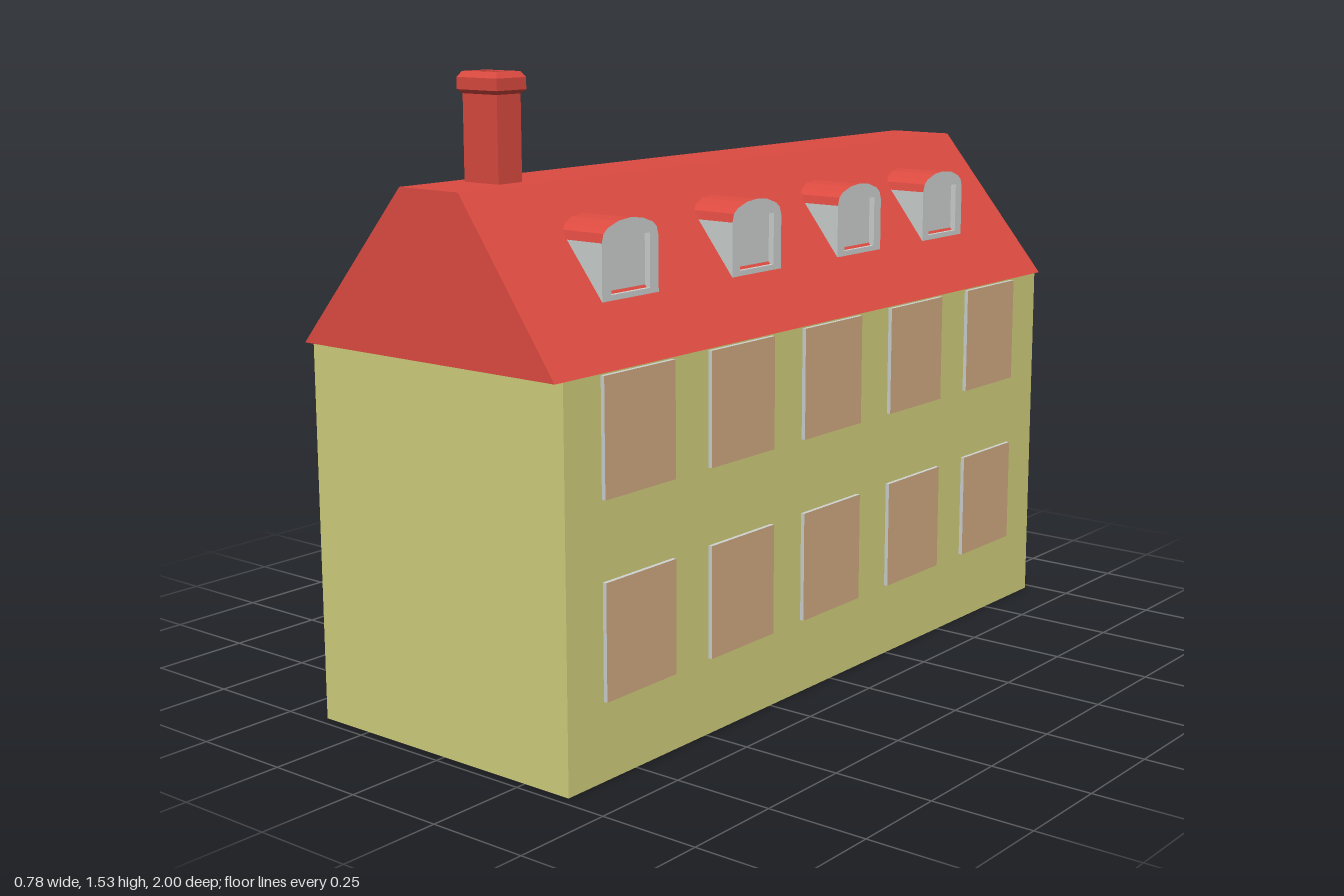
import * as THREE from 'three';

const mat = (name, color) => {
  const m = new THREE.MeshStandardMaterial({ color, side: THREE.DoubleSide });
  m.name = name;
  return m;
};

// Flat-shaded surface between rings that hold equal numbers of points
function loft(rings, closed = true) {
  const pos = [];
  for (let r = 0; r < rings.length - 1; r++) {
    const a = rings[r], b = rings[r + 1], n = a.length;
    for (let i = 0; i < (closed ? n : n - 1); i++) {
      const j = (i + 1) % n;
      pos.push(...a[i], ...a[j], ...b[j], ...a[i], ...b[j], ...b[i]);
    }
  }
  const g = new THREE.BufferGeometry();
  g.setAttribute('position', new THREE.Float32BufferAttribute(pos, 3));
  g.computeVertexNormals();
  return g;
}

// Rectangles lying flat (y fixed) and facing sideways (x fixed)
const flatRect = (x0, x1, z0, z1, y) => [[x0, y, z1], [x1, y, z1], [x1, y, z0], [x0, y, z0]];
const sideRect = (z0, z1, y0, y1, x) => [[x, y0, z1], [x, y0, z0], [x, y1, z0], [x, y1, z1]];

// Flat outline of [z, y] points with rectangular holes, facing +x at the given x
function sidePanel(outline, holes, x) {
  const toV = (pts) => pts.map(([z, y]) => new THREE.Vector2(-z, y));
  const shape = new THREE.Shape(toV(outline));
  for (const [z0, z1, y0, y1] of holes) {
    shape.holes.push(new THREE.Path(toV([[z0, y0], [z1, y0], [z1, y1], [z0, y1]])));
  }
  return new THREE.ShapeGeometry(shape).rotateY(Math.PI / 2).translate(x, 0, 0);
}
const rectOutline = (z0, z1, y0, y1) => [[z1, y0], [z0, y0], [z0, y1], [z1, y1]];

const LEFT = 0.38, RIGHT = -0.395, WALL_Z = 0.975, EAVE = 0.915, RIDGE = 1.29;
const RIDGE_LEFT = 0.085, RIDGE_RIGHT = -0.095;
const roofX = (y) => LEFT - (y - EAVE) * (LEFT - RIDGE_LEFT) / (RIDGE - EAVE);

export function createModel() {
  const yellow = mat('wallYellow', 0xd5d47f);
  const red = mat('roofRed', 0xde4b41);
  const grey = mat('frameGrey', 0xcfd4d2);
  const tan = mat('windowTan', 0xd5ac84);

  const house = new THREE.Group();
  house.name = 'house';
  const add = (name, geometry, material, parent = house) => {
    const mesh = new THREE.Mesh(geometry, material);
    mesh.name = name;
    parent.add(mesh);
    return mesh;
  };

  // Three walls; the right side stays open
  const windows = [];
  for (const z of [0.738, 0.371, 0.01, -0.36, -0.725]) {
    for (const [y0, y1] of [[0.185, 0.456], [0.64, 0.912]]) windows.push([z - 0.119, z + 0.119, y0, y1]);
  }
  add('windowWall', sidePanel(rectOutline(-WALL_Z, WALL_Z, 0, EAVE), windows, LEFT), yellow);
  for (const s of [1, -1]) {
    const wall = new THREE.PlaneGeometry(LEFT - RIGHT, EAVE);
    if (s < 0) wall.rotateY(Math.PI);
    wall.translate((LEFT + RIGHT) / 2, EAVE / 2, s * WALL_Z);
    add(s > 0 ? 'frontWall' : 'backWall', wall, yellow);
  }

  // Windows stand slightly proud of the wall
  for (const [z0, z1, y0, y1] of windows) {
    const win = new THREE.Group();
    win.name = 'window';
    house.add(win);
    add('windowFrame', loft([sideRect(z0, z1, y0, y1, LEFT), sideRect(z0, z1, y0, y1, 0.39)]), grey, win);
    add('windowPane', sidePanel(rectOutline(z0, z1, y0, y1), [], 0.39), tan, win);
  }

  // Roof with sloping ends, a flat ridge and a grey soffit
  const top = flatRect(RIDGE_RIGHT, RIDGE_LEFT, -WALL_Z, WALL_Z, RIDGE);
  add('roof', loft([flatRect(RIGHT, LEFT, -1, 1, EAVE), top]), red);
  add('roofRidge', loft([[top[0], top[1]], [top[3], top[2]]], false), red);
  const eave = flatRect(RIGHT, LEFT, -1, 1, EAVE);
  add('soffit', loft([[eave[3], eave[2]], [eave[0], eave[1]]], false), grey);

  // Dormers run from an arched face back to the roof slope
  const FACE = 0.28, PANE = 0.265;
  const arch = [[0.096, 1.172], [0.09, 1.192], [0.075, 1.204], [0.04, 1.216], [0, 1.22],
    [-0.04, 1.216], [-0.075, 1.204], [-0.09, 1.192], [-0.096, 1.172]];
  const run = (pts) => loft([pts.map(([z, y]) => [FACE, y, z]), pts.map(([z, y]) => [roofX(y), y, z])], false);
  const hole = [-0.066, 0.066, 1.055, 1.18];
  for (const z of [0.64, 0.178, -0.252, -0.645]) {
    const dormer = new THREE.Group();
    dormer.name = 'dormer';
    dormer.position.z = z;
    house.add(dormer);
    add('dormerFace', sidePanel([[0.096, 1.042], [-0.096, 1.042], ...arch.slice().reverse()], [hole], FACE), grey, dormer);
    add('dormerRoof', run(arch), red, dormer);
    for (const s of [1, -1]) add('dormerCheek', run([[s * 0.096, 1.042], [s * 0.096, 1.172]]), grey, dormer);
    add('dormerReveal', loft([sideRect(...hole, PANE), sideRect(...hole, FACE)]), grey, dormer);
    add('dormerPane', sidePanel(rectOutline(...hole), [], PANE), grey, dormer);
  }

  // Chimney with a bevelled, hollow cap: [outward offset, height]
  const profile = [[0, RIDGE], [0, 1.486], [0.009, 1.495], [0.009, 1.522], [0, 1.535],
    [-0.014, 1.535], [-0.014, 1.495], [-0.037, 1.495]];
  add('chimney', loft(profile.map(([o, y]) => flatRect(-0.06 - o, 0.045 + o, 0.735 - o, 0.81 + o, y))), red);

  return house;
}
